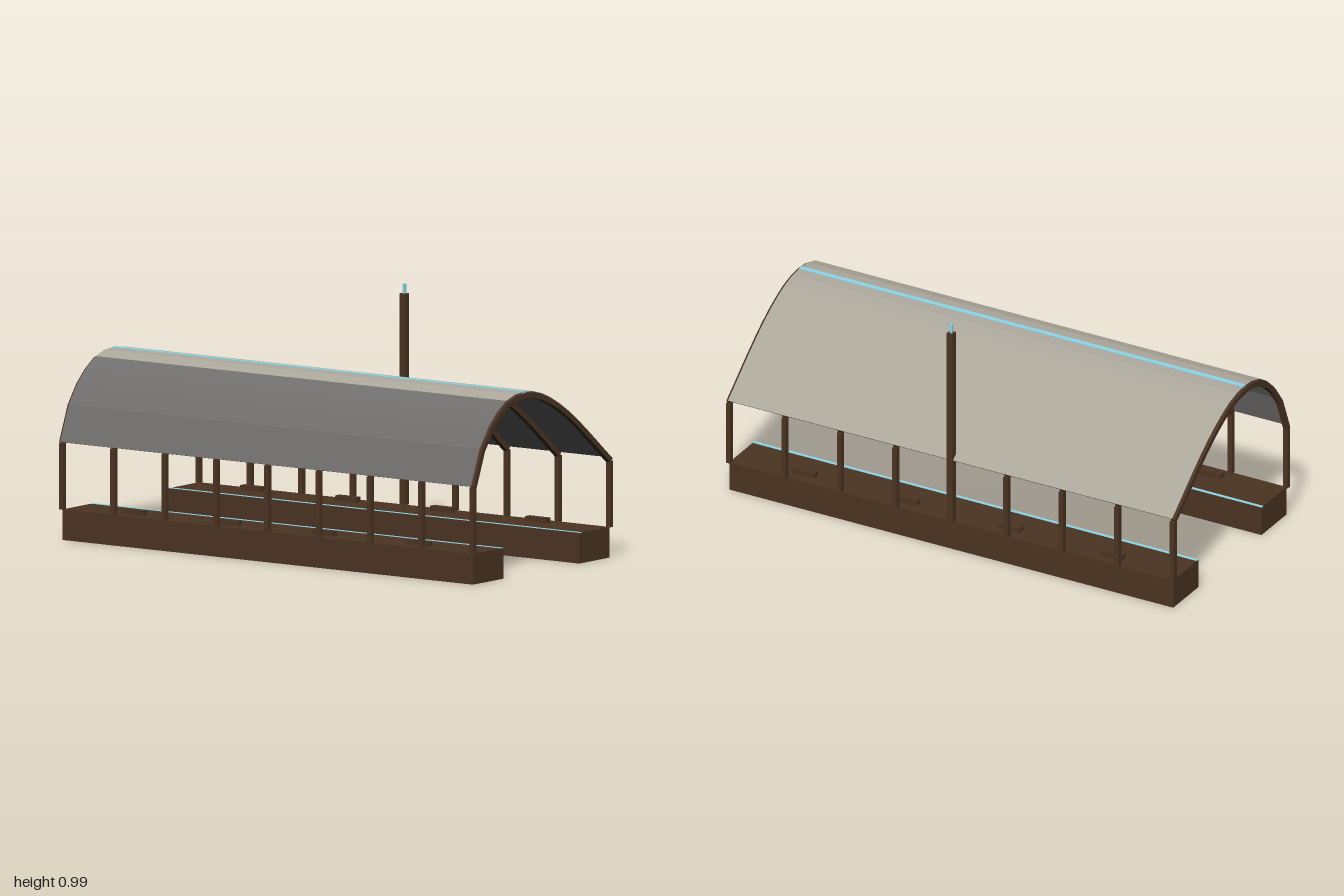
import * as THREE from 'three';

export function createModel() {
  const model = new THREE.Group();
  model.name = 'pavilion';

  const material = (name, color) => {
    const m = new THREE.MeshStandardMaterial({ color });
    m.name = name;
    return m;
  };
  const wood = material('dark wood', 0x4a3322);
  const woodUnder = material('wood underside', 0x21200e);
  const roofLight = material('light roofing', 0xaaa69a);
  const roofGrey = material('grey roofing', 0x706e6c);
  const roofDark = material('dark roof lining', 0x454547);
  const glow = material('pale blue trim', 0x8bd3e4);

  const add = (name, geometry, mat, x = 0, y = 0, z = 0) => {
    const mesh = new THREE.Mesh(geometry, mat);
    mesh.name = name;
    mesh.position.set(x, y, z);
    model.add(mesh);
    return mesh;
  };
  const box = (name, mat, w, h, d, x, y, z) =>
    add(name, new THREE.BoxGeometry(w, h, d), mat, x, y, z);

  // Arch centre line: heights at equal steps in x
  const heights = [0.38, 0.519, 0.594, 0.645, 0.68, 0.697, 0.701, 0.696, 0.682,
    0.659, 0.63, 0.596, 0.557, 0.515, 0.471, 0.426, 0.382];
  const arch = heights.map((y, i) => new THREE.Vector2(-0.445 + 0.89 * i / 16, y));

  // Points of the arch moved outwards by a distance
  const offset = (d) => arch.map((p, i) => {
    const a = arch[Math.max(i - 1, 0)];
    const b = arch[Math.min(i + 1, arch.length - 1)];
    const t = b.clone().sub(a).normalize();
    return new THREE.Vector2(p.x - t.y * d, p.y + t.x * d);
  });

  // Curved band between two offsets, over a range of arch steps, extruded along z
  const band = (inner, outer, depth, from = 0, to = 16) => {
    const low = offset(inner).slice(from, to + 1);
    const high = offset(outer).slice(from, to + 1);
    const shape = new THREE.Shape([...low, ...high.reverse()]);
    const g = new THREE.ExtrudeGeometry(shape, { depth, bevelEnabled: false });
    return g.translate(0, 0, -depth / 2);
  };

  // Nine frames, each with one rib, its soffit and two posts
  const rib = band(-0.0105, 0.01, 0.02);
  const soffit = band(-0.0115, -0.0105, 0.02, 2, 16);
  for (let i = 0; i < 9; i++) {
    const z = -0.99 + i * 0.2475;
    add('rib', rib, wood, 0, 0, z);
    add('ribSoffit', soffit, woodUnder, 0, 0, z);
    for (const s of [-1, 1]) box('post', wood, 0.02, 0.26, 0.02, s * 0.445, 0.25, z);
  }

  // Roof: outer skin with a darker steep side, and its lining
  add('roofSteepSide', band(0.0143, 0.0165, 1.98, 0, 4), roofGrey);
  add('roofLongSide', band(0.0143, 0.0165, 1.98, 4, 16), roofLight);
  add('liningSteepSide', band(0.012, 0.0143, 1.98, 0, 2), roofGrey);
  add('lining', band(0.012, 0.0143, 1.98, 2, 16), roofDark);

  // Ridge light, showing above and below the roof
  box('ridgeLight', glow, 0.022, 0.009, 1.98, -0.111, 0.7145, 0);

  // Platforms with dark undersides, edge strips and benches
  const platformSides = [wood, wood, wood, woodUnder, wood, wood];
  for (const s of [-1, 1]) {
    box('platform', platformSides, 0.198, 0.12, 1.98, s * 0.346, 0.06, 0);
    box('edgeStrip', glow, 0.014, 0.003, 1.98, s * 0.2545, 0.12, 0);
    for (const z of [-0.687, -0.229, 0.229, 0.687]) {
      box('bench', wood, 0.03, 0.02, 0.1, s * 0.386, 0.13, z);
    }
  }

  // Mast with a light at its tip
  box('mast', wood, 0.027, 0.828, 0.027, 0.445, 0.534, 0);
  box('mastLight', glow, 0.011, 0.04, 0.011, 0.445, 0.966, 0);

  return model;
}
